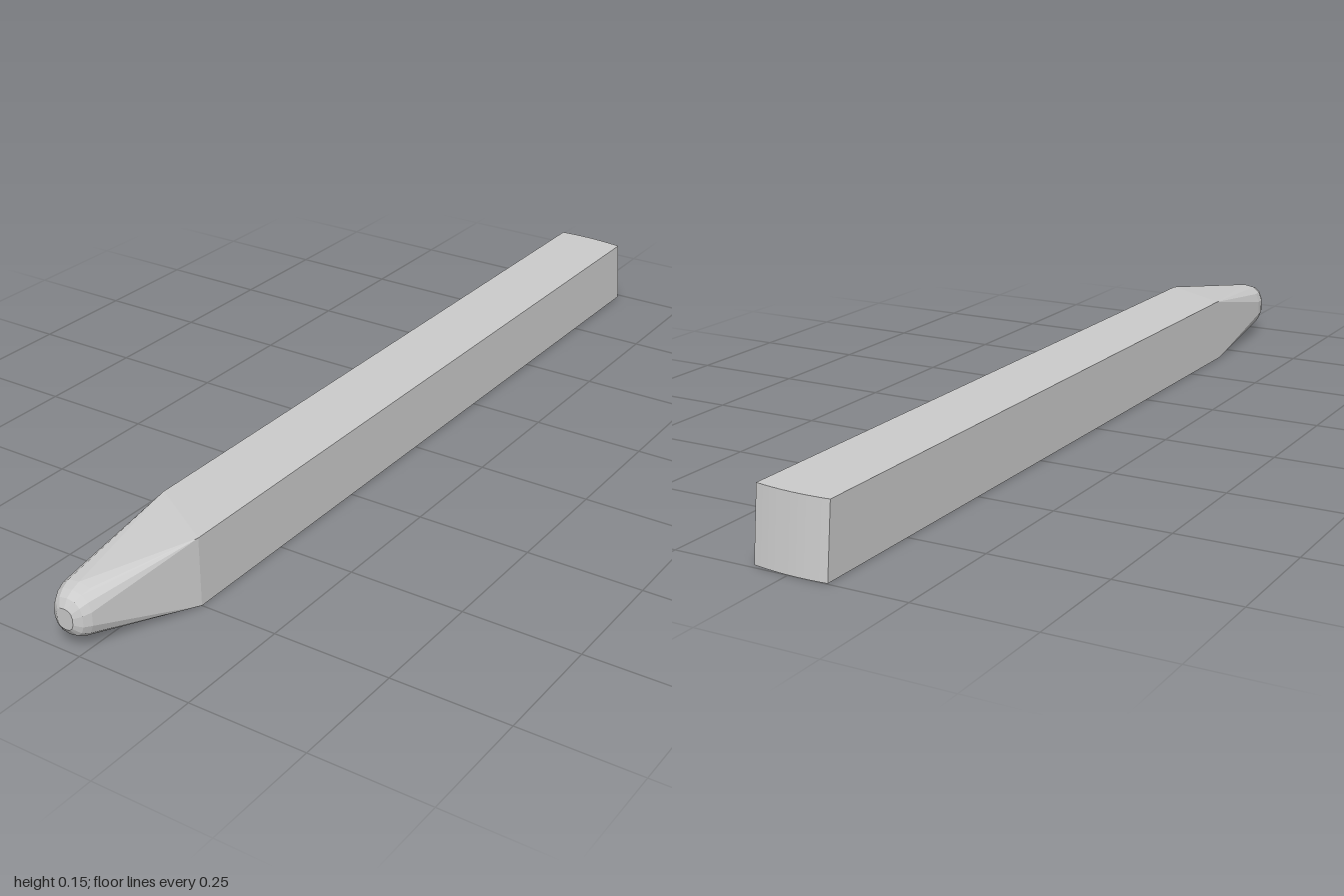
import * as THREE from 'three';
import { ConvexGeometry } from 'three/addons/geometries/ConvexGeometry.js';

const LEFT = 0.081, RIGHT = -0.083, HEIGHT = 0.148;

export function createModel() {
  const group = new THREE.Group();
  group.name = 'squareStick';
  const points = [];
  const add = (x, y, z) => points.push(new THREE.Vector3(x, y, z));

  // Back end: slanted and slightly bowed across the width
  const steps = 10;
  for (let i = 0; i <= steps; i++) {
    const x = THREE.MathUtils.lerp(RIGHT, LEFT, i / steps);
    const bow = 0.9 * (x + 0.03) ** 2;
    add(x, 0, -1 + bow);
    add(x, HEIGHT, -0.983 + bow);
  }

  // Shoulder corners where the shaft starts to taper
  add(LEFT, 0, 0.75);
  add(LEFT, HEIGHT, 0.75);
  add(RIGHT, 0, 0.67);
  add(RIGHT, HEIGHT, 0.65);

  // Worn, rounded tip as rings: [z, centre x, centre y, radius x, radius y]
  const rings = [
    [0.925, -0.031, 0.073, 0.052, 0.054],
    [0.955, -0.028, 0.073, 0.050, 0.052],
    [0.975, -0.027, 0.072, 0.044, 0.047],
    [0.99, -0.027, 0.071, 0.035, 0.038],
    [1.0, -0.027, 0.070, 0.019, 0.022],
  ];
  const sides = 14;
  const soft = (v) => Math.sign(v) * Math.abs(v) ** 0.8;
  for (const [z, cx, cy, rx, ry] of rings) {
    for (let i = 0; i < sides; i++) {
      const a = ((i + 0.5) / sides) * Math.PI * 2;
      add(cx + rx * soft(Math.cos(a)), cy + ry * soft(Math.sin(a)), z);
    }
  }

  // Solid skin around all the sections
  const material = new THREE.MeshStandardMaterial({ color: 0xcccccc, flatShading: true });
  const stick = new THREE.Mesh(new ConvexGeometry(points), material);
  stick.name = 'stickWithWornTip';
  group.add(stick);
  return group;
}
